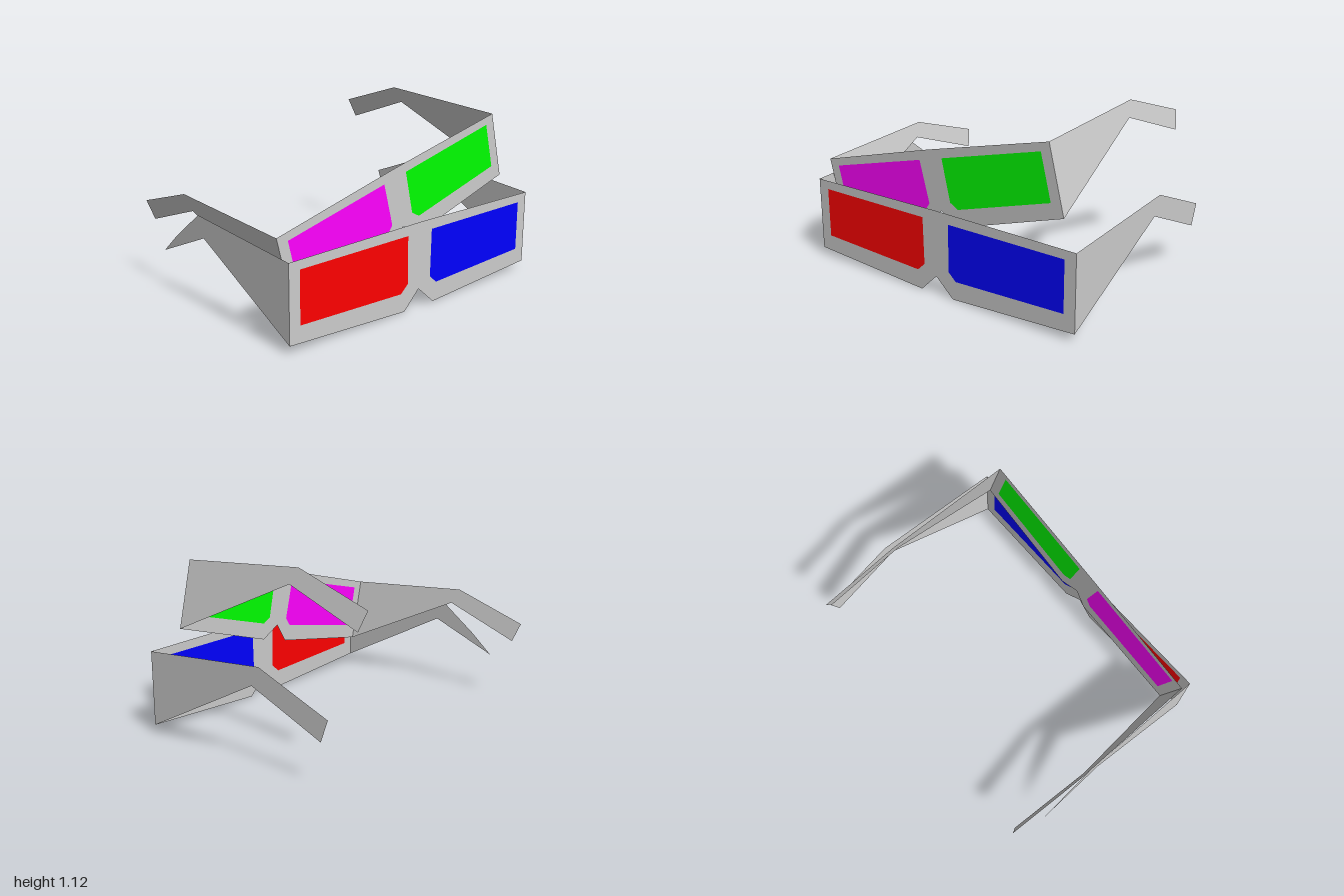
import * as THREE from 'three';

const material = (color) => new THREE.MeshStandardMaterial({ color, side: THREE.DoubleSide, flatShading: true });
const card = material(0xcccccc);
const points = (list) => list.map(([x, y]) => new THREE.Vector2(x, y));

// Front outline with a nose notch
const FRAME = [[-0.985, 0.055], [-0.115, 0.005], [0.003, 0.12], [0.13, 0.005], [0.995, 0.055],
  [0.995, 0.53], [0.003, 0.54], [-0.985, 0.53]];

// Lens windows
const LENS_LEFT = [[0.105, 0.475], [0.92, 0.475], [0.92, 0.155], [0.155, 0.125], [0.1, 0.175]];
const LENS_RIGHT = LENS_LEFT.map(([x, y]) => [0.01 - x, y]);

// Temple arms: distance behind the frame, height
const ARM_FRONT = [[0, 0.53], [0, 0.055], [0.833, 0.48], [1.33, 0.265], [1.38, 0.4], [0.888, 0.6]];
const ARM_POINTED = [[0, 0.53], [0, 0.055], [0.79, 0.46], [1.23, 0.27], [1.085, 0.4], [0.84, 0.59]];
const ARM_REAR = [[0, 0.53], [0, 0.055], [0.811, 0.48], [1.325, 0.27], [1.37, 0.407], [0.86, 0.592]];

function sheet(name, outline, mat, holes = []) {
  const shape = new THREE.Shape(points(outline));
  shape.holes = holes.map((h) => new THREE.Path(points(h)));
  const mesh = new THREE.Mesh(new THREE.ShapeGeometry(shape), mat);
  mesh.name = name;
  return mesh;
}

function glasses(name, colorLeft, colorRight, armLeft, armRight) {
  const group = new THREE.Group();
  group.name = name;
  group.add(
    sheet('frame', FRAME, card, [LENS_LEFT, LENS_RIGHT]),
    sheet('leftLens', LENS_LEFT, material(colorLeft)),
    sheet('rightLens', LENS_RIGHT, material(colorRight)));
  for (const [armName, x, outline] of [['leftArm', 0.995, armLeft], ['rightArm', -0.985, armRight]]) {
    const arm = sheet(armName, outline, card);
    arm.rotation.y = Math.PI / 2; // runs backwards from the frame
    arm.position.x = x;
    group.add(arm);
  }
  return group;
}

export function createModel() {
  const model = new THREE.Group();
  model.name = 'paperGlassesPair';

  // Upright pair, with one creased arm ending in a point
  const front = glasses('frontGlasses', 0x0000ff, 0xff0000, ARM_FRONT, ARM_POINTED);
  front.position.z = 0.735;

  // Smaller tilted pair behind
  const rear = glasses('rearGlasses', 0x00ff00, 0xff00ff, ARM_REAR, ARM_REAR);
  rear.scale.set(0.898, 0.898, 1);
  rear.rotation.z = THREE.MathUtils.degToRad(14);
  rear.position.set(-0.0115, 0.392, 0.635);

  model.add(front, rear);
  return model;
}
